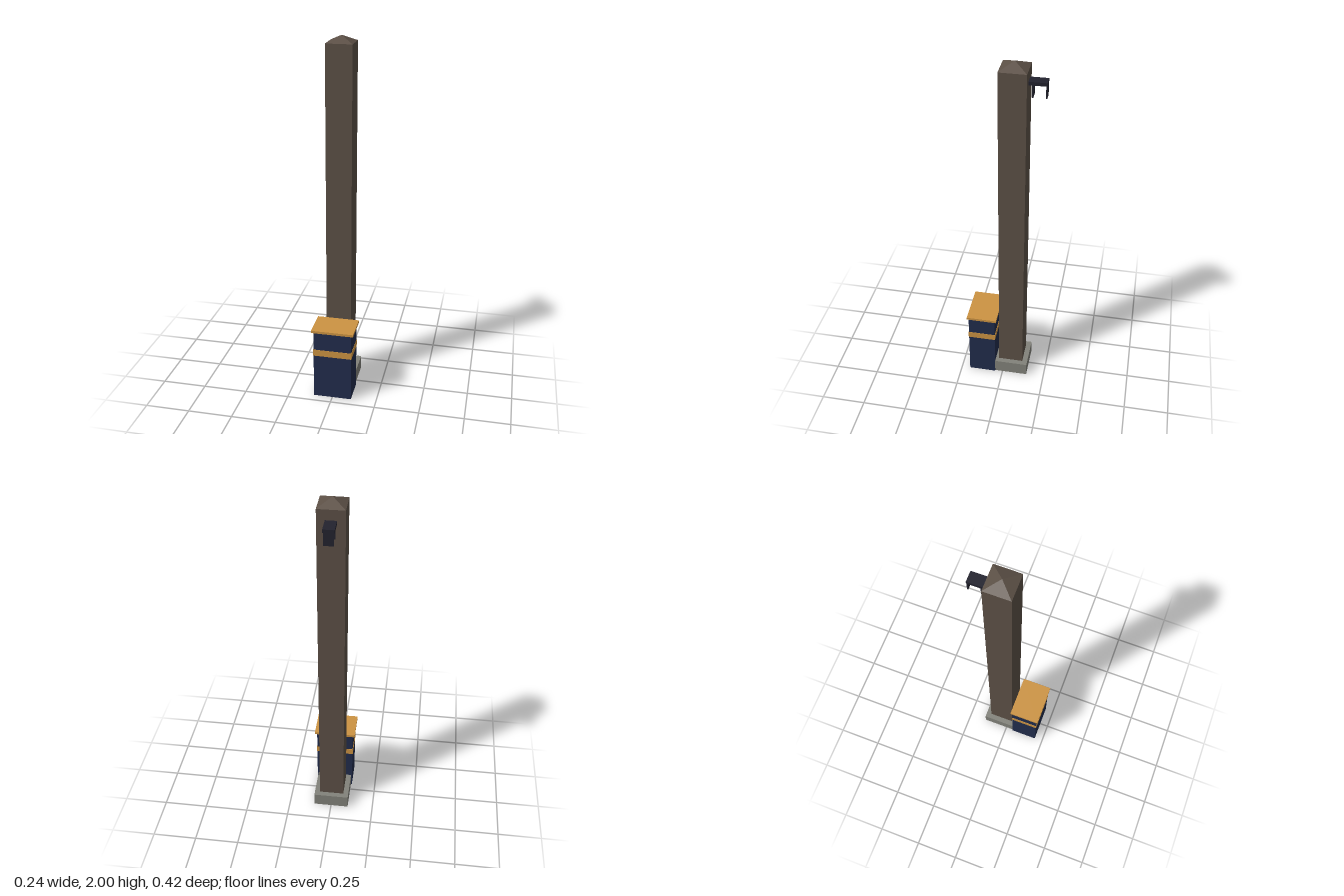
import * as THREE from 'three';

const mat = (name, color) => {
  const m = new THREE.MeshStandardMaterial({ color });
  m.name = name;
  return m;
};

export function createModel() {
  const brown = mat('brown wood', 0x5c5046);
  const grey = mat('grey concrete', 0x82827a);
  const navy = mat('navy paint', 0x212c4c);
  const gold = mat('gold paint', 0xcc9342);
  const black = mat('dark metal', 0x22222e);

  const model = new THREE.Group();
  model.name = 'postWithBin';

  // Box given by its width about x = 0 and its y and z ranges
  const box = (name, material, width, y0, y1, z0, z1) => {
    const mesh = new THREE.Mesh(new THREE.BoxGeometry(width, y1 - y0, z1 - z0), material);
    mesh.name = name;
    mesh.position.set(0, (y0 + y1) / 2, (z0 + z1) / 2);
    model.add(mesh);
  };

  // Footing and square post
  const postZ = -0.045;
  const half = 0.071;
  box('footing', grey, 0.202, 0, 0.078, postZ - 0.101, postZ + 0.101);
  box('post', brown, half * 2, 0.04, 1.965, postZ - half, postZ + half);

  // Pyramid cap
  const capGeometry = new THREE.ConeGeometry(half * Math.SQRT2, 0.035, 4, 1, true).rotateY(Math.PI / 4).toNonIndexed();
  capGeometry.computeVertexNormals();
  const cap = new THREE.Mesh(capGeometry, brown);
  cap.name = 'postCap';
  cap.position.set(0, 1.9825, postZ);
  model.add(cap);

  // Bin in front of the post, with a band and an overhanging lid
  box('binBody', navy, 0.214, 0, 0.406, 0.045, 0.2);
  box('binBand', gold, 0.218, 0.26, 0.298, 0.043, 0.202);
  box('binLid', gold, 0.238, 0.406, 0.42, 0.035, 0.208);

  // Bracket arm at the back with two hanging plates
  box('bracketArm', black, 0.058, 1.892, 1.91, -0.208, -0.11);
  for (const z of [-0.137, -0.205]) box('hangingPlate', black, 0.05, 1.825, 1.895, z - 0.003, z + 0.003);

  return model;
}
